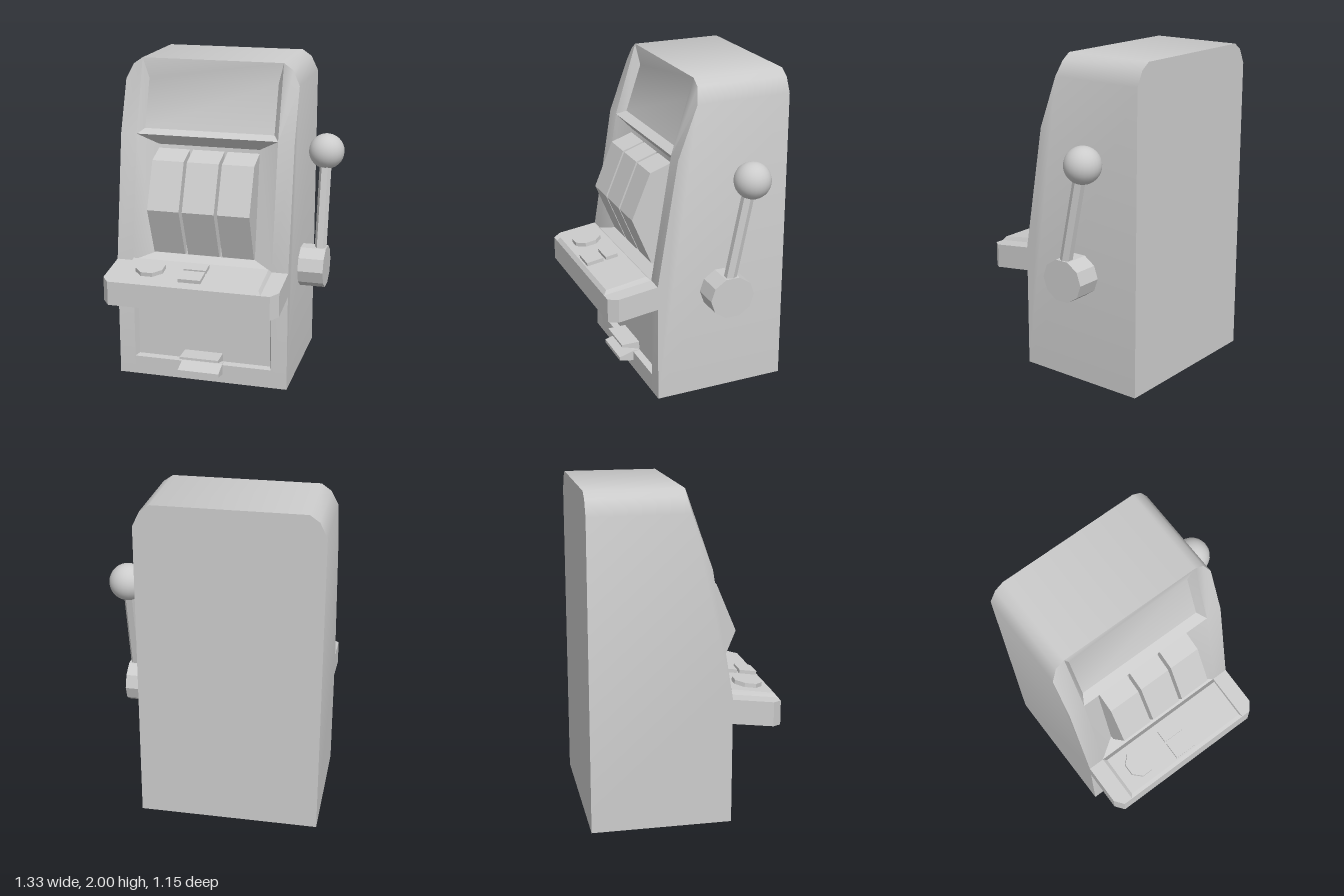
import * as THREE from 'three';
import { toCreasedNormals } from 'three/addons/utils/BufferGeometryUtils.js';

const H = 0.547; // half width of the cabinet
const I = 0.445; // half width inside the front frame
const BACK = -0.575;
const mat = new THREE.MeshStandardMaterial({ color: 0xcccccc });
const flat = new THREE.MeshStandardMaterial({ color: 0xcccccc, flatShading: true });

function add(parent, name, geometry, material = flat) {
  const m = new THREE.Mesh(geometry, material);
  m.name = name;
  parent.add(m);
  return m;
}

// Convex polygons, counter-clockwise from outside, fanned into triangles
function polygons(faces, crease = 0.3) {
  const pos = [];
  for (const f of faces)
    for (let i = 1; i < f.length - 1; i++) pos.push(...f[0], ...f[i], ...f[i + 1]);
  const g = new THREE.BufferGeometry();
  g.setAttribute('position', new THREE.Float32BufferAttribute(pos, 3));
  g.computeVertexNormals();
  return toCreasedNormals(g, crease);
}

const mirrored = (faces) => faces.map((f) => f.map(([x, y, z]) => [-x, y, z]).reverse());

// Four corners from a lower and an upper edge given as [half width, y, z]
const corners = ([w, y, z], [v, t, u]) => [[-w, y, z], [w, y, z], [v, t, u], [-v, t, u]];

// Sloped rim and panel: sunken or raised
function inset(outer, inner) {
  const rim = outer.map((p, i) => [p, outer[(i + 1) % 4], inner[(i + 1) % 4], inner[i]]);
  return [...rim, inner];
}

// Side profile of [z, y] points, swept across x
function prism(profile, width) {
  const shape = new THREE.Shape(profile.map(([z, y]) => new THREE.Vector2(-z, y)));
  const g = new THREE.ExtrudeGeometry(shape, { depth: width, bevelEnabled: false });
  return g.translate(0, 0, -width / 2).rotateY(Math.PI / 2);
}

function cabinetGeometry() {
  const half = [
    // side wall and chamfered top corner
    [[H, 0, 0.27], [H, 0, BACK], [H, 1.87, BACK], [H, 1.87, 0.02], [H, 1.55, 0.14], [H, 0.77, 0.27]],
    [[H, 1.87, 0.02], [H, 1.87, BACK], [0.503, 1.96, BACK], [0.503, 1.96, 0]],
    [[0.503, 1.96, 0], [0.503, 1.96, BACK], [I, 2, BACK], [I, 2, 0]],
    // front frame
    [[I, 0, 0.27], [H, 0, 0.27], [H, 0.77, 0.27], [I, 0.77, 0.27]],
    [[I, 0.77, 0.27], [H, 0.77, 0.27], [H, 1.55, 0.14], [I, 1.55, 0.14]],
    [[I, 1.55, 0.14], [H, 1.55, 0.14], [H, 1.87, 0.02], [0.503, 1.96, 0], [I, 2, 0]],
  ];
  const outline = [[H, 0], [H, 1.87], [0.503, 1.96], [I, 2], [-I, 2], [-0.503, 1.96], [-H, 1.87], [-H, 0]];
  return polygons([
    ...half, ...mirrored(half),
    outline.map(([x, y]) => [x, y, BACK]).reverse(),
    corners([I, 2, 0], [I, 2, BACK]),
    corners([H, 0, BACK], [H, 0, 0.27]),
    corners([I, 0, 0.27], [I, 0.12, 0.27]),
    corners([I, 0.62, 0.27], [I, 0.77, 0.27]),
    // lower door, reel window, top sign panel
    ...inset(corners([I, 0.12, 0.27], [I, 0.62, 0.27]), corners([0.43, 0.125, 0.225], [0.43, 0.61, 0.225])),
    ...inset(corners([I, 0.77, 0.27], [I, 1.55, 0.14]), corners([0.32, 0.81, 0.19], [0.32, 1.48, 0.08])),
    ...inset(corners([I, 1.55, 0.14], [I, 2, 0]), corners([0.41, 1.575, 0.08], [0.41, 1.87, -0.02])),
  ], 0.7);
}

function consoleGeometry() {
  const plan = [[-H, 0.27], [-H, 0.52], [-0.503, 0.575], [0.503, 0.575], [H, 0.52], [H, 0.27]];
  const drop = (z) => (z - 0.27) * 0.131;
  const top = plan.map(([x, z]) => [x, 0.77 - drop(z), z]);
  const low = plan.map(([x, z]) => [x, 0.62 - drop(z), z]);
  const walls = plan.map((_, i) => {
    const j = (i + 1) % plan.length;
    return [low[i], low[j], top[j], top[i]];
  });
  return polygons([top, [...low].reverse(), ...walls]);
}

export function createModel() {
  const root = new THREE.Group();
  root.name = 'slotMachine';
  const machine = new THREE.Group();
  machine.name = 'machine';
  machine.position.x = -0.118;
  root.add(machine);

  add(machine, 'cabinet', cabinetGeometry(), mat);

  // Three faceted reels
  const reel = prism([[0, 0.81], [0.215, 0.82], [0.34, 1.125], [0.22, 1.41], [0.05, 1.468], [0, 1.468]], 0.2);
  for (let i = -1; i <= 1; i++) add(machine, 'reel', reel).position.x = i * 0.22;

  // Control shelf with raised panel and buttons
  add(machine, 'console', consoleGeometry(), mat);
  add(machine, 'consolePanel', polygons(inset(
    corners([I, 0.73, 0.575], [I, 0.77, 0.27]),
    corners([0.43, 0.755, 0.555], [0.43, 0.795, 0.295]))), mat);
  const button = (name, geometry, x, z) => {
    const b = add(machine, name, geometry);
    b.position.set(x, 0.755 + 0.154 * (0.555 - z), z);
    b.rotation.x = 0.153;
  };
  button('roundButton', new THREE.CylinderGeometry(0.092, 0.095, 0.05, 8).rotateY(Math.PI / 8), -0.274, 0.425);
  button('frontButton', new THREE.BoxGeometry(0.14, 0.045, 0.11), 0.003, 0.49);
  button('rearButton', new THREE.BoxGeometry(0.14, 0.045, 0.08), 0.003, 0.38);

  // Coin tray: hood and lip
  add(machine, 'trayHood', prism([[0.2, 0.12], [0.27, 0.142], [0.345, 0.165], [0.345, 0.18], [0.2, 0.18]], 0.25));
  add(machine, 'trayLip', prism([[0.2, 0.05], [0.27, 0.056], [0.365, 0.076], [0.365, 0.098], [0.27, 0.126], [0.2, 0.126]], 0.265));

  // Pull lever on the left side
  const lever = new THREE.Group();
  lever.name = 'lever';
  root.add(lever);
  const hub = add(lever, 'leverHub', new THREE.CylinderGeometry(0.143, 0.143, 0.17, 10).rotateZ(Math.PI / 2));
  hub.geometry.scale(1, 0.93, 1);
  hub.position.set(0.505, 0.69, -0.15);
  const from = new THREE.Vector3(0.549, 0.76, -0.14);
  const to = new THREE.Vector3(0.549, 1.4, -0.272);
  const stem = add(lever, 'leverStem', new THREE.CylinderGeometry(0.038, 0.038, from.distanceTo(to), 6).rotateY(Math.PI / 6));
  stem.position.copy(from).lerp(to, 0.5);
  stem.rotation.x = Math.atan2(to.z - from.z, to.y - from.y);
  add(lever, 'leverBall', new THREE.SphereGeometry(0.112, 24, 16), mat).position.set(0.55, 1.41, -0.282);

  return root;
}
